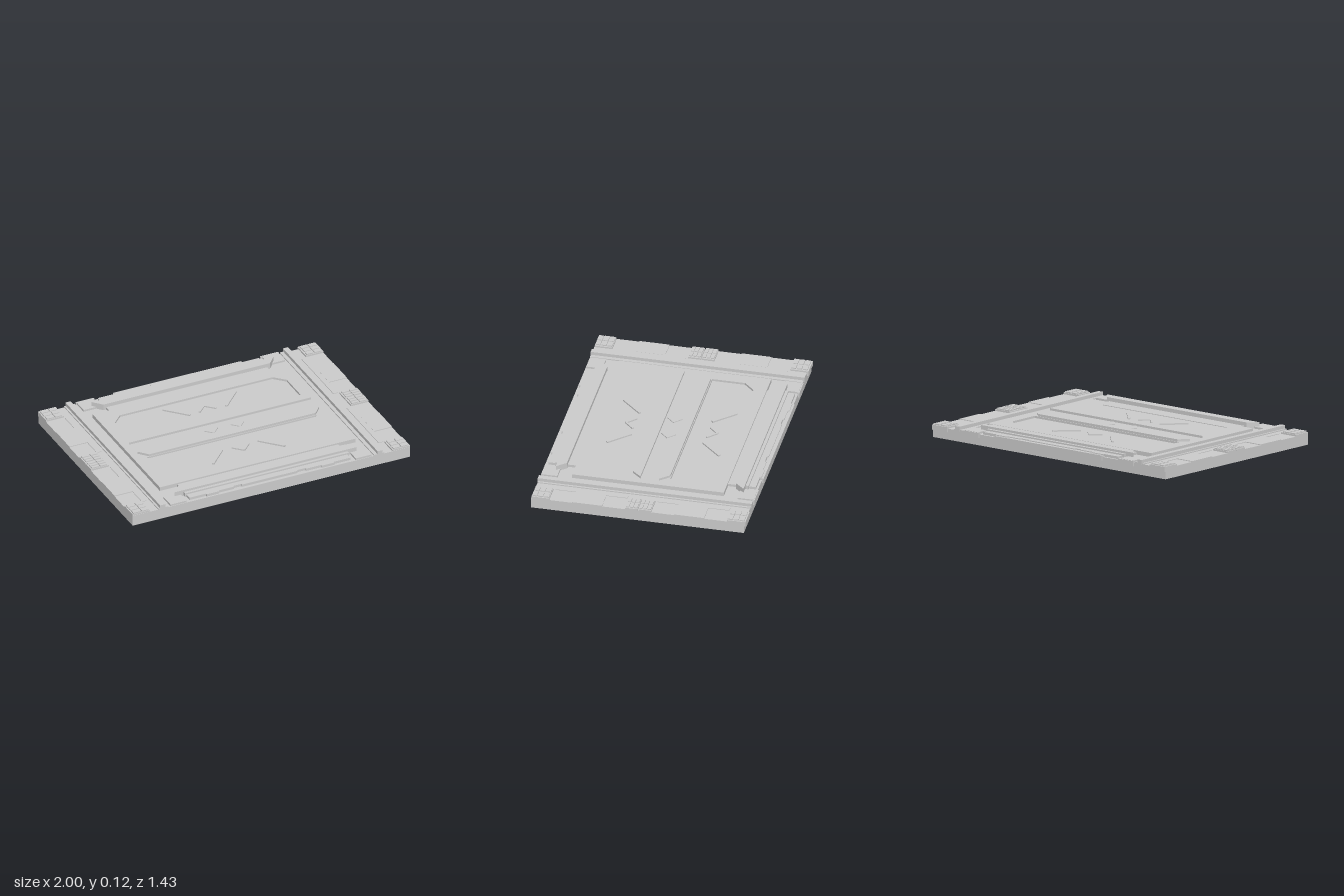
import * as THREE from 'three';

const material = new THREE.MeshStandardMaterial({ color: 0xcccccc, flatShading: true });

export function createModel() {
  const model = new THREE.Group();

  const add = (name, geometry) => {
    const mesh = new THREE.Mesh(geometry, material);
    mesh.name = name;
    model.add(mesh);
    return mesh;
  };

  // Box given by its extents on each axis
  const box = (name, x0, x1, y0, y1, z0, z1) => {
    const mesh = add(name, new THREE.BoxGeometry(Math.abs(x1 - x0), y1 - y0, Math.abs(z1 - z0)));
    mesh.position.set((x0 + x1) / 2, (y0 + y1) / 2, (z0 + z1) / 2);
    return mesh;
  };

  // Flat plate from an [x, z] outline, with optional holes
  const toPoints = (outline) => outline.map(([x, z]) => new THREE.Vector2(x, -z));
  const plate = (name, outline, y0, y1, holes = []) => {
    const shape = new THREE.Shape(toPoints(outline));
    for (const hole of holes) shape.holes.push(new THREE.Path(toPoints(hole)));
    const geometry = new THREE.ExtrudeGeometry(shape, { depth: y1 - y0, bevelEnabled: false });
    geometry.rotateX(-Math.PI / 2).translate(0, y0, 0);
    return add(name, geometry);
  };

  // Thin ridge between two floor points
  const ridge = (name, a, b, y0, y1, width) => {
    const dx = b[0] - a[0], dz = b[1] - a[1];
    const mesh = add(name, new THREE.BoxGeometry(Math.hypot(dx, dz), y1 - y0, width));
    mesh.position.set((a[0] + b[0]) / 2, (y0 + y1) / 2, (a[1] + b[1]) / 2);
    mesh.rotation.y = -Math.atan2(dz, dx);
  };

  // Base slab
  box('baseSlab', -1, 1, 0, 0.073, -0.705, 0.712);

  // Raised main panel with two corner-cut pockets
  const pocket = (s) => [
    [-0.62, 0.13 * s], [0.62, 0.13 * s], [0.62, 0.35 * s],
    [0.55, 0.42 * s], [-0.55, 0.42 * s], [-0.62, 0.35 * s],
  ];
  const panel = [[-0.705, -0.505], [0.705, -0.505], [0.705, 0.505], [-0.705, 0.505]];
  plate('mainPanel', panel, 0.07, 0.1, [pocket(1), pocket(-1)]);
  box('pocketFloor', -0.64, 0.64, 0.07, 0.086, -0.44, 0.44);

  for (const s of [1, -1]) {
    // Stepped strip with a notched outer edge
    const half = [[0.58, 0.69], [0.46, 0.69], [0.46, 0.7], [0.37, 0.7], [0.37, 0.69],
      [0.26, 0.69], [0.26, 0.68], [0.2, 0.68], [0.2, 0.69]];
    const edge = [...half, ...half.map(([x, z]) => [-x, z]).reverse()];
    const strip = [...edge, [-0.58, 0.5], [0.58, 0.5]].map(([x, z]) => [x, z * s]);
    plate('edgeStrip', strip, 0.07, 0.09);

    // Flared cross beams: an outer and an inner one on each side
    plate('outerBeam', [[-0.655, 0.625 * s], [0.655, 0.625 * s], [0.6, 0.563 * s], [-0.6, 0.563 * s]], 0.07, 0.115);
    plate('innerBeam', [[-0.655, 0.062 * s], [0.655, 0.062 * s], [0.6, 0.125 * s], [-0.6, 0.125 * s]], 0.07, 0.115);
    box('outerBeamLedge', -0.59, 0.59, 0.07, 0.1, 0.61 * s, 0.645 * s);

    // Chevron ridge in the pocket
    ridge('chevron', [-0.06, 0.245 * s], [0, 0.305 * s], 0.08, 0.095, 0.012);
    ridge('chevron', [0.06, 0.245 * s], [0, 0.305 * s], 0.08, 0.095, 0.012);
  }

  for (const m of [1, -1]) {
    // Long side rail and its low foot
    box('sideRail', 0.765 * m, 0.802 * m, 0.07, 0.102, -0.713, 0.713);
    box('railFoot', 0.74 * m, 0.815 * m, 0.07, 0.08, -0.708, 0.712);

    // Diamond between the inner beams
    const c = 0.095 * m, r = 0.05;
    plate('diamond', [[c - r, 0], [c, r], [c + r, 0], [c, -r]], 0.09, 0.106);

    // Middle end pad, split in two
    for (const s of [1, -1]) {
      ridge('diagonalRidge', [0.26 * m, 0.375 * s], [0.13 * m, 0.24 * s], 0.08, 0.096, 0.016);

      // Low end plates
      box('endPlate', 0.87 * m, 1 * m, 0.07, 0.078, 0.24 * s, 0.44 * s);
      box('innerEndPlate', 0.835 * m, 0.87 * m, 0.07, 0.077, 0.1 * s, 0.58 * s);

      // Corner block beside the strip
      box('cornerBlock', 0.61 * m, 0.725 * m, 0.07, 0.086, 0.6 * s, 0.708 * s);

      // End pads with raised ribs
      for (const [z0, z1] of [[0.003, 0.087], [0.592, 0.71]]) {
        box('endPad', 0.872 * m, 1 * m, 0.07, 0.084, z0 * s, z1 * s);
        const step = (z1 - z0) / 3;
        for (let i = 0; i < 3; i++) {
          const a = z0 + step * i + 0.004, b = z0 + step * (i + 1) - 0.004;
          box('padRib', 0.882 * m, 0.93 * m, 0.08, 0.092, a * s, b * s);
          box('padRib', 0.938 * m, 0.992 * m, 0.08, 0.092, a * s, b * s);
        }
      }
    }

    // Small overhanging lips on the back edge
    box('backLip', 0.87 * m, 1 * m, 0.05, 0.084, -0.715, -0.7);
    box('backLip', 0.6 * m, 0.73 * m, 0.05, 0.084, -0.715, -0.7);
  }
  box('backLip', -0.46, 0.46, 0.05, 0.084, -0.715, -0.685);

  return model;
}
